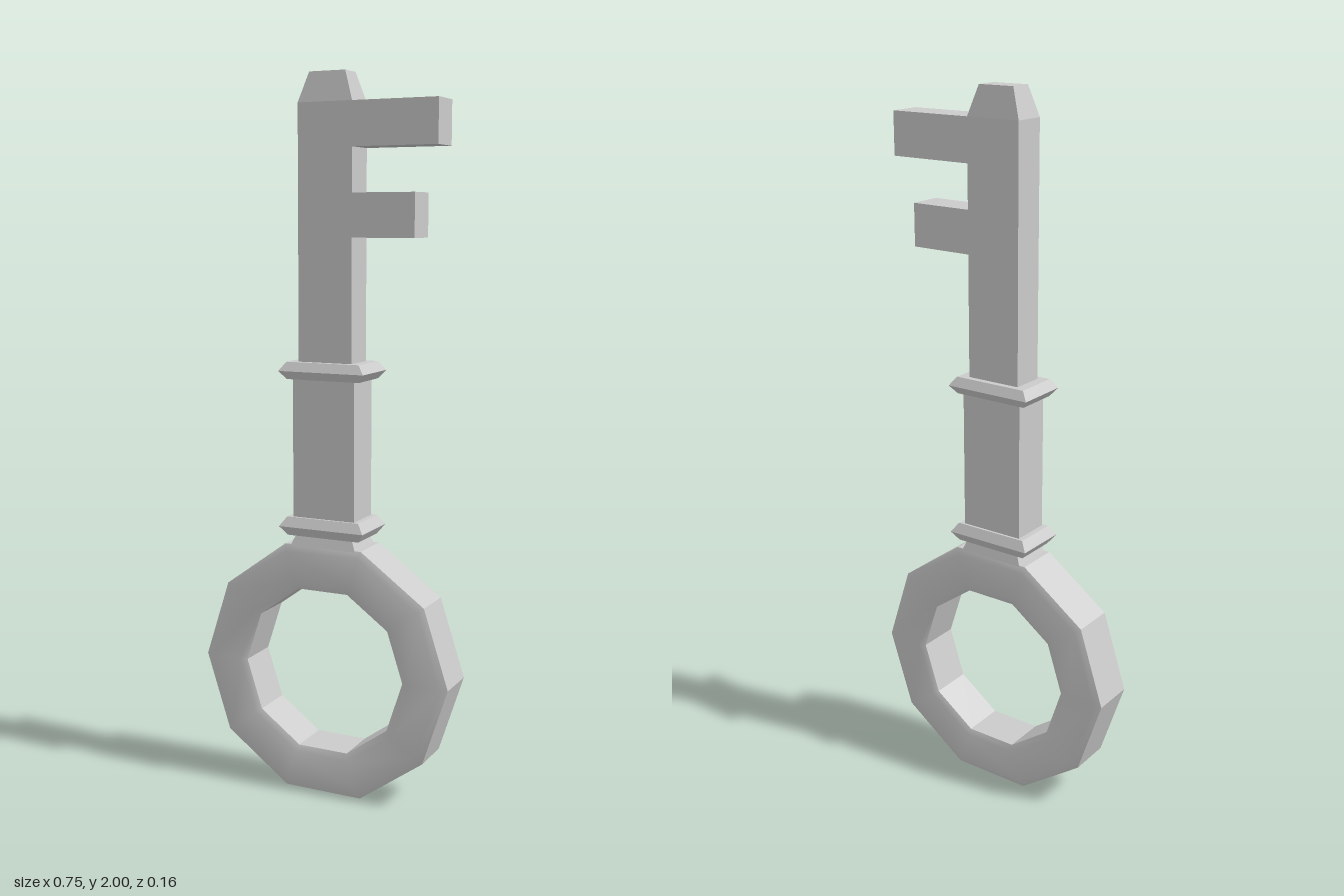
import * as THREE from 'three';
import { toCreasedNormals } from 'three/addons/utils/BufferGeometryUtils.js';

const grey = new THREE.MeshStandardMaterial({ color: 0xcccccc });

// Box whose bottom and top rectangles differ: each given as [y, half width, half depth]
function taper([y0, w0, d0], [y1, w1, d1]) {
  const geo = new THREE.BoxGeometry(2, 2, 2);
  const p = geo.attributes.position;
  for (let i = 0; i < p.count; i++) {
    const top = p.getY(i) > 0;
    p.setXYZ(i, p.getX(i) * (top ? w1 : w0), top ? y1 : y0, p.getZ(i) * (top ? d1 : d0));
  }
  geo.computeVertexNormals();
  return geo;
}

export function createModel() {
  const key = new THREE.Group();
  key.name = 'key';
  const add = (name, geo, parent = key) => {
    const mesh = new THREE.Mesh(geo, grey);
    mesh.name = name;
    parent.add(mesh);
    return mesh;
  };

  // Ten-sided ring handle with softened rims
  const section = [
    [0.376, -0.062], [0.376, 0.062], [0.355, 0.07], [0.262, 0.07],
    [0.243, 0.062], [0.243, -0.062], [0.262, -0.07], [0.355, -0.07], [0.376, -0.062],
  ].map(([r, z]) => new THREE.Vector2(r, z));
  const ring = new THREE.LatheGeometry(section, 10, Math.PI / 2).rotateX(Math.PI / 2);
  add('ringHandle', toCreasedNormals(ring, Math.PI / 6)).position.y = 0.358;

  // Flared neck and grip
  add('neck', taper([0.71, 0.1, 0.064], [0.745, 0.085, 0.054]));
  add('grip', taper([0.74, 0.093, 0.057], [1.2, 0.093, 0.057]));

  // Bevelled collars at both ends of the grip
  [['lowerCollar', 0.741, 0.767, 0.794], ['upperCollar', 1.18, 1.203, 1.228]].forEach(([name, y0, y1, y2]) => {
    const collar = new THREE.Group();
    collar.name = name;
    key.add(collar);
    add(name + 'Underside', taper([y0, 0.109, 0.062], [y1, 0.128, 0.078]), collar);
    add(name + 'Top', taper([y1, 0.128, 0.078], [y2, 0.109, 0.064]), collar);
  });

  // Shaft with two teeth, cut from one outline
  const outline = new THREE.Shape([
    [-0.08, 1.2], [0.08, 1.2],
    [0.08, 1.565], [0.26, 1.565], [0.26, 1.683], [0.08, 1.683],
    [0.08, 1.802], [0.323, 1.802], [0.323, 1.92], [-0.08, 1.92],
  ].map(([x, y]) => new THREE.Vector2(x, y)));
  const shaft = new THREE.ExtrudeGeometry(outline, { depth: 0.094, bevelEnabled: false });
  add('shaftAndTeeth', shaft.translate(0, 0, -0.047));

  // Tapered tip
  add('tip', taper([1.92, 0.08, 0.047], [2, 0.053, 0.032]));

  return key;
}
